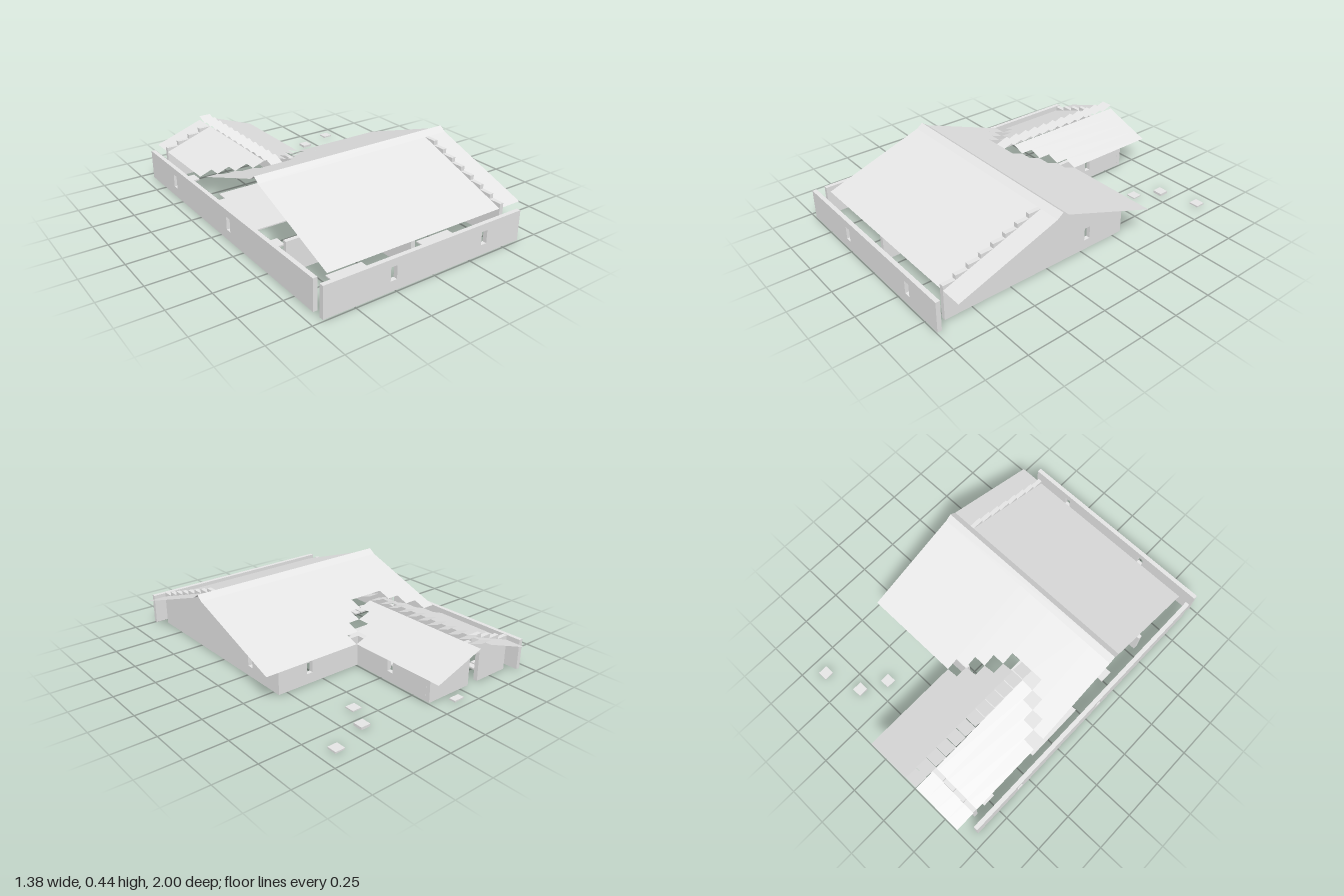
import * as THREE from 'three';

const U = 0.0768;            // plan grid unit
const RISE = 0.0273;         // roof rise per grid unit
const EAVE = 0.192, BASE = 0.008, TOP = 0.192, THICK = 0.026;
const LEFT = -0.613, RIGHT = 0.69, FRONT = 0.92, BACK = -0.385;

export function createModel() {
  const model = new THREE.Group();
  model.name = 'house';
  const plaster = new THREE.MeshStandardMaterial({ color: 0xe6e6e6, side: THREE.DoubleSide });
  plaster.name = 'light grey';

  const add = (name, geometry, parent = model) => {
    const mesh = new THREE.Mesh(geometry, plaster);
    mesh.name = name;
    parent.add(mesh);
    return mesh;
  };
  const group = (name) => {
    const g = new THREE.Group();
    g.name = name;
    model.add(g);
    return g;
  };
  const slab = (name, x0, x1, y0, y1, z0, z1, parent) => {
    const g = new THREE.BoxGeometry(x1 - x0, y1 - y0, z1 - z0);
    add(name, g.translate((x0 + x1) / 2, (y0 + y1) / 2, (z0 + z1) / 2), parent);
  };
  // Flat four-cornered roof sheet
  const sheet = (name, parent, a, b, c, d) => {
    const g = new THREE.BufferGeometry();
    g.setAttribute('position', new THREE.Float32BufferAttribute([a, b, c, a, c, d].flat(), 3));
    g.computeVertexNormals();
    add(name, g, parent);
  };

  // Wall outline from u0 to u1, optional stepped top heights, window openings
  const outline = (u0, u1, windows, steps) => {
    const s = new THREE.Shape();
    s.moveTo(u0, BASE);
    s.lineTo(u1, BASE);
    if (steps) {
      for (let i = steps.length - 1; i >= 0; i--) {
        s.lineTo(Math.min(u0 + (i + 1) * U, u1), steps[i]);
        s.lineTo(u0 + i * U, steps[i]);
      }
    } else {
      s.lineTo(u1, TOP);
      s.lineTo(u0, TOP);
    }
    s.closePath();
    for (const u of windows) {
      const h = new THREE.Path();
      h.moveTo(u - 0.02, 0.069);
      h.lineTo(u - 0.02, 0.148);
      h.lineTo(u + 0.02, 0.148);
      h.lineTo(u + 0.02, 0.069);
      h.closePath();
      s.holes.push(h);
    }
    return new THREE.ExtrudeGeometry(s, { depth: THICK, bevelEnabled: false });
  };
  // Wall running along x, its back face at z
  const wallX = (name, x0, x1, z, windows = [], steps = null) =>
    add(name, outline(x0, x1, windows, steps).translate(0, 0, z));
  // Wall running along z from the front z0 to the back z1, its right face at x
  const wallZ = (name, z0, z1, x, windows = [], steps = null) =>
    add(name, outline(-z0, -z1, windows.map((w) => -w), steps).rotateY(Math.PI / 2).translate(x, 0, 0));

  // Steps climbing n times, then falling m times
  const stepped = (n, m) => {
    const list = [];
    for (let i = 1; i <= n; i++) list.push(EAVE + i * RISE);
    for (let i = 1; i <= m; i++) list.push(EAVE + (n - i) * RISE);
    return list;
  };

  // Outer walls
  wallX('frontWall', -0.69, 0.612, 0.972, [-0.27, 0.345]);
  wallZ('longSideWall', FRONT, -0.925, -0.692, [0.1, -0.575]);
  wallZ('mainGableWall', FRONT, -0.308, 0.534, [-0.04], stepped(8, 8));
  wallX('mainBackWall', 0, 0.56, -0.308, [0.35]);
  wallZ('wingSideWall', -0.308, -0.847, -0.026, [-0.575]);

  // Wing gable, split by a doorway
  const gable = stepped(4, 4);
  wallX('wingGableOuter', LEFT, LEFT + 3 * U, -0.874, [], gable.slice(0, 3));
  slab('doorLintel', LEFT + 3 * U, LEFT + 4 * U, 0.185, gable[3], -0.874, -0.848);
  wallX('wingGableInner', LEFT + 4 * U, 0, -0.874, [], gable.slice(4));

  // Inner partitions
  wallX('partition', -0.32, 0.23, 0.54);
  wallX('partition', LEFT, -0.4, 0.54);
  wallZ('partition', 0.9, 0.566, -0.08);
  wallX('partition', 0.17, 0.534, 0.3);
  wallZ('partition', 0.3, 0.08, 0.15);

  // Main roof: front slope, ridge caps, back slope with a stepped valley cut
  const mainRoof = group('mainRoof');
  const ridgeZ = (FRONT + BACK) / 2, capY = EAVE + 8 * RISE, ridgeY = 0.439;
  const zf = ridgeZ + U / 2, zb = ridgeZ - U / 2;
  sheet('frontSlope', mainRoof, [LEFT, EAVE, FRONT], [RIGHT, EAVE, FRONT], [RIGHT, capY, zf], [LEFT, capY, zf]);
  sheet('ridgeCapFront', mainRoof, [LEFT, capY, zf], [RIGHT, capY, zf], [RIGHT, ridgeY, ridgeZ], [LEFT, ridgeY, ridgeZ]);
  sheet('ridgeCapBack', mainRoof, [LEFT, ridgeY, ridgeZ], [RIGHT, ridgeY, ridgeZ], [RIGHT, capY, zb], [LEFT, capY, zb]);
  const backStrip = (x0, x1, n) => {
    const y = EAVE + n * RISE, z = BACK + n * U;
    sheet('backSlope', mainRoof, [x0, capY, zb], [x1, capY, zb], [x1, y, z], [x0, y, z]);
  };
  const valley = (i) => Math.min(i, 8 - i, 3) + 1;
  for (let i = 0; i < 9; i++) backStrip(LEFT + i * U, LEFT + (i + 1) * U, valley(i));
  backStrip(LEFT + 9 * U, RIGHT, 0);

  // Wing roof: one strip per grid column, stopping one unit short of the main roof
  const wingRoof = group('wingRoof');
  for (let i = 0; i < 9; i++) {
    if (i === 4) continue;
    const x0 = LEFT + i * U, x1 = x0 + U;
    const end = BACK + (valley(i) - 1) * U;
    const y0 = EAVE + Math.min(i, 9 - i) * RISE;
    const y1 = EAVE + Math.min(i + 1, 8 - i) * RISE;
    sheet('wingSlope', wingRoof, [x0, y0, end], [x1, y1, end], [x1, y1, -1], [x0, y0, -1]);
  }
  // Tilted tiles along the wing ridge
  const tx0 = LEFT + 4 * U, tx1 = tx0 + U, ty = EAVE + 4 * RISE;
  for (let i = 0; i < 12; i++) {
    const z = BACK + (4 - i) * U, z1 = Math.max(z - U, -1);
    sheet('ridgeTile', wingRoof, [tx0, ty, z], [tx1, ty, z], [tx1, ty + 0.026, z1], [tx0, ty + 0.026, z1]);
  }

  // Stepping stones and door step
  const stones = group('steppingStones');
  for (const [x, z, h] of [[0.34, -0.66, 0.014], [0.42, -0.815, 0.022], [0.65, -0.89, 0.016]]) {
    slab('steppingStone', x - 0.03, x + 0.03, 0.007, h, z - 0.03, z + 0.03, stones);
  }
  slab('doorStep', -0.18, -0.11, 0.007, 0.016, -0.955, -0.915);

  // Floor under the valley, with cut corners
  const floor = group('floorSlabs');
  const rows = [[1, 5, 1, 0], [0, 6, 0, -5], [2, 6, -5, -6]];
  for (const [c0, c1, r0, r1] of rows) {
    slab('valleyFloor', LEFT + c0 * U, LEFT + c1 * U, 0, 0.007, r1 * U, r0 * U, floor);
  }
  // Low floor slabs
  slab('floorSlab', 0.15, 0.38, 0, 0.007, 0.69, 0.77, floor);
  slab('floorSlab', -0.46, -0.23, 0, 0.007, 0.69, 0.77, floor);
  slab('floorSlab', 0.15, 0.38, 0, 0.007, -0.1, 0.06, floor);
  for (let i = 0; i < 5; i++) {
    slab('smallSlab', -0.2 + i * U, -0.15 + i * U, 0.009, 0.018, 0.42, 0.48, floor);
  }
  for (const z of [0.24, -0.79]) {
    for (let i = 0; i < 3; i++) {
      slab('smallSlab', -0.61 + i * 0.05, -0.57 + i * 0.05, 0.009, 0.018, z, z + 0.08, floor);
    }
  }
  return model;
}
